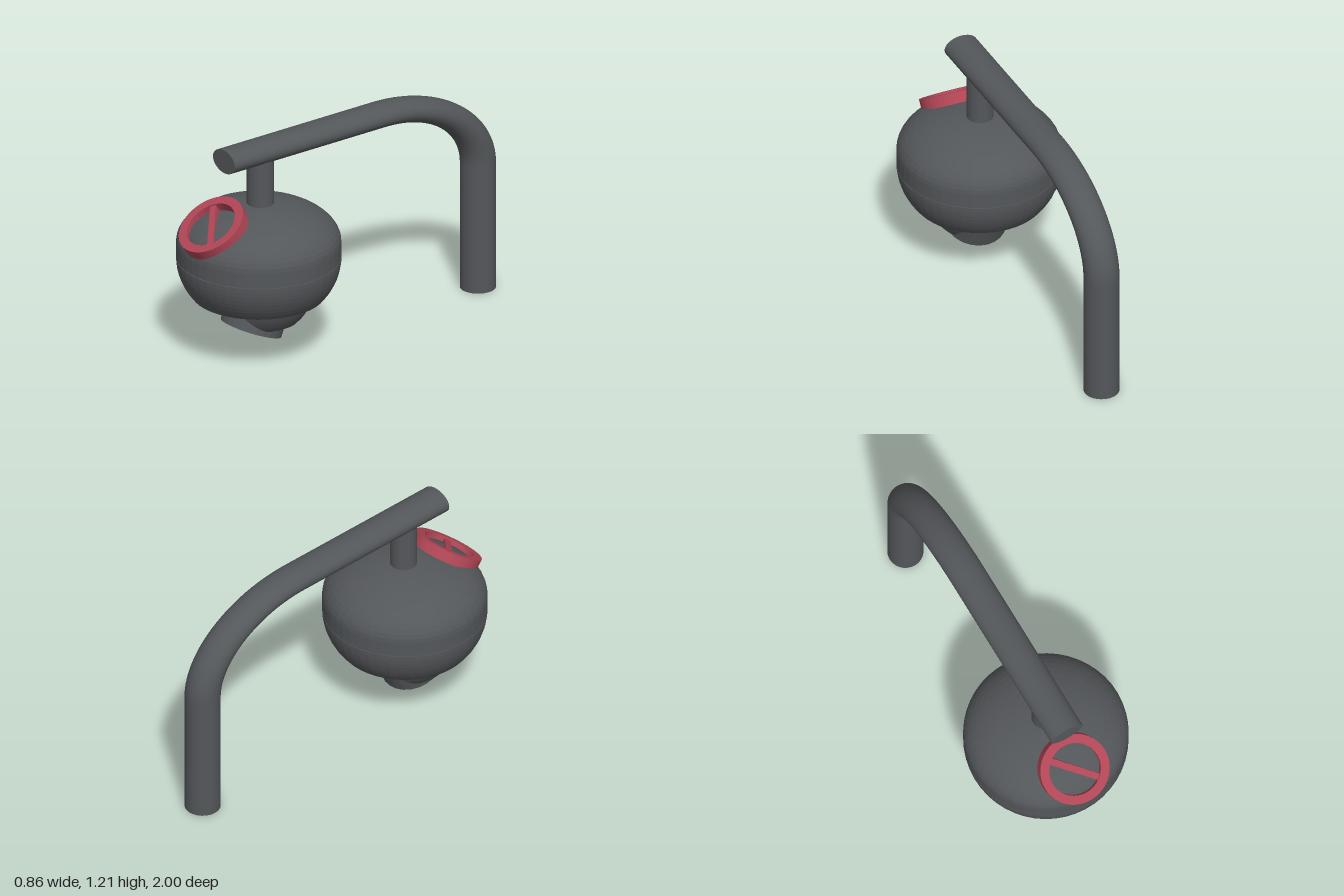
import * as THREE from 'three';
import { ParametricGeometry } from 'three/addons/geometries/ParametricGeometry.js';

const grey = new THREE.MeshStandardMaterial({ color: 0x54575a });
const greyFlat = new THREE.MeshStandardMaterial({ color: 0x54575a, flatShading: true });
const greyThin = new THREE.MeshStandardMaterial({ color: 0x54575a, side: THREE.DoubleSide });
const red = new THREE.MeshStandardMaterial({ color: 0xb04555, flatShading: true });

const BODY_Z = 0.535;

function add(parent, name, geometry, material, x = 0, y = 0, z = 0) {
  const mesh = new THREE.Mesh(geometry, material);
  mesh.name = name;
  mesh.position.set(x, y, z);
  parent.add(mesh);
  return mesh;
}

const lathe = (points, segments) =>
  new THREE.LatheGeometry(points.map(([r, y]) => new THREE.Vector2(r, y)), segments);

// Bent pipe: drawn round, then flattened in height
function makeArm() {
  const arm = new THREE.Group();
  arm.name = 'supportArm';
  const squash = 0.68, top = 1.15 / squash, bend = 0.65, radius = 0.0945;
  const at = (y, z) => new THREE.Vector3(-0.03 + 0.03 * (z + 0.905) / 1.665, y, z);
  const foot = at(0, -0.905), knee = at(top - bend, -0.905);
  const elbow = at(top, -0.905 + bend), tip = at(top, 0.76);

  const path = new THREE.CurvePath();
  path.add(new THREE.LineCurve3(foot, knee));
  const arc = new THREE.Curve();
  arc.getPoint = (t, target = new THREE.Vector3()) => {
    const a = t * Math.PI / 2;
    return target.copy(at(top - bend + bend * Math.sin(a), -0.905 + bend * (1 - Math.cos(a))));
  };
  path.add(arc);
  path.add(new THREE.LineCurve3(elbow, tip));
  add(arm, 'armPipe', new THREE.TubeGeometry(path, 100, radius, 40), grey);

  // End caps
  const cap = new THREE.CircleGeometry(radius, 40);
  add(arm, 'footCap', cap, grey, foot.x, foot.y, foot.z).rotation.x = Math.PI / 2;
  add(arm, 'tipCap', cap, grey, tip.x, tip.y, tip.z).rotation.y = Math.atan2(0.03, 1.665);
  arm.scale.y = squash;
  return arm;
}

// Round housing in two halves with a hairline gap
function makeHousing() {
  const housing = new THREE.Group();
  housing.name = 'housing';
  housing.position.z = BODY_Z;
  const lower = [[0.285, 0.345]], upper = [[0, 0.557], [0.432, 0.557]];
  for (let i = 0; i <= 8; i++) {
    const y = 0.345 + 0.208 * i / 8;
    lower.push([0.432 * Math.sqrt(1 - ((0.555 - y) / 0.36) ** 2), y]);
  }
  lower.push([0, 0.553]);
  for (let i = 0; i <= 14; i++) {
    const a = i / 14 * Math.PI / 2;
    upper.push([0.432 * Math.cos(a), 0.64 + 0.22 * Math.sin(a)]);
  }
  add(housing, 'lowerShell', lathe(lower, 48), greyFlat);
  add(housing, 'upperShell', lathe(upper, 48), greyFlat);
  return housing;
}

// Ball socket: a sphere pierced front to back by a round bore
function makeSocket() {
  const socket = new THREE.Group();
  socket.name = 'lensSocket';
  socket.position.z = BODY_Z;
  const R = 0.3, centreY = 0.42, bore = 0.2, boreY = 0.215;
  const section = (v) => {
    const y = boreY + bore * Math.sin(v * Math.PI / 2);
    const r = Math.sqrt(R * R - (y - centreY) ** 2);
    const x = bore * Math.cos(v * Math.PI / 2);
    return { x, y, r, a: Math.acos(Math.min(1, x / r)) };
  };
  for (const side of [-1, 1]) {
    const label = side > 0 ? 'left' : 'right';
    add(socket, label + 'SocketCheek', new ParametricGeometry((u, v, p) => {
      const s = section(v), a = (2 * u - 1) * s.a;
      p.set(side * s.r * Math.cos(a), s.y, s.r * Math.sin(a));
    }, 24, 16), greyThin);
    add(socket, label + 'SocketBore', new ParametricGeometry((u, v, p) => {
      const s = section(v);
      p.set(side * s.x, s.y, (2 * u - 1) * s.r * Math.sin(s.a));
    }, 4, 16), greyThin);
  }
  return socket;
}

// Tilted barrel with a recessed face and a red lens
function makeLens() {
  const lens = new THREE.Group();
  lens.name = 'lens';
  lens.position.set(0, 0.16, 0.585);
  lens.rotation.x = -0.37;
  add(lens, 'lensBarrel', lathe([
    [0, 0.014], [0.116, 0.014], [0.116, 0], [0.166, 0], [0.166, 0.25], [0, 0.25],
  ], 24), greyFlat);
  add(lens, 'lensGlass', new THREE.CylinderGeometry(0.085, 0.085, 0.018, 32), red, 0, 0.006, 0);
  return lens;
}

// Red ring with a diagonal bar, leaning on the front of the housing
function makeBadge() {
  const badge = new THREE.Group();
  badge.name = 'ringBadge';
  badge.position.set(0, 0.79, 0.828);
  badge.rotation.x = -0.977;
  const shape = new THREE.Shape().absarc(0, 0, 0.188, 0, Math.PI * 2);
  shape.holes.push(new THREE.Path().absarc(0, 0, 0.14, 0, Math.PI * 2, true));
  const ring = new THREE.ExtrudeGeometry(shape, { depth: 0.06, bevelEnabled: false, curveSegments: 32 });
  add(badge, 'badgeRing', ring, red, 0, 0, -0.03);
  add(badge, 'badgeBar', new THREE.BoxGeometry(0.29, 0.035, 0.045), red).rotation.z = -Math.PI / 4;
  return badge;
}

export function createModel() {
  const model = new THREE.Group();
  model.name = 'hangingCamera';
  model.add(makeArm(), makeHousing(), makeSocket(), makeLens(), makeBadge());
  // Post joining the arm to the housing
  add(model, 'hangerPost', new THREE.CylinderGeometry(0.071, 0.071, 0.31, 32), grey, 0, 0.965, 0.525);
  return model;
}
